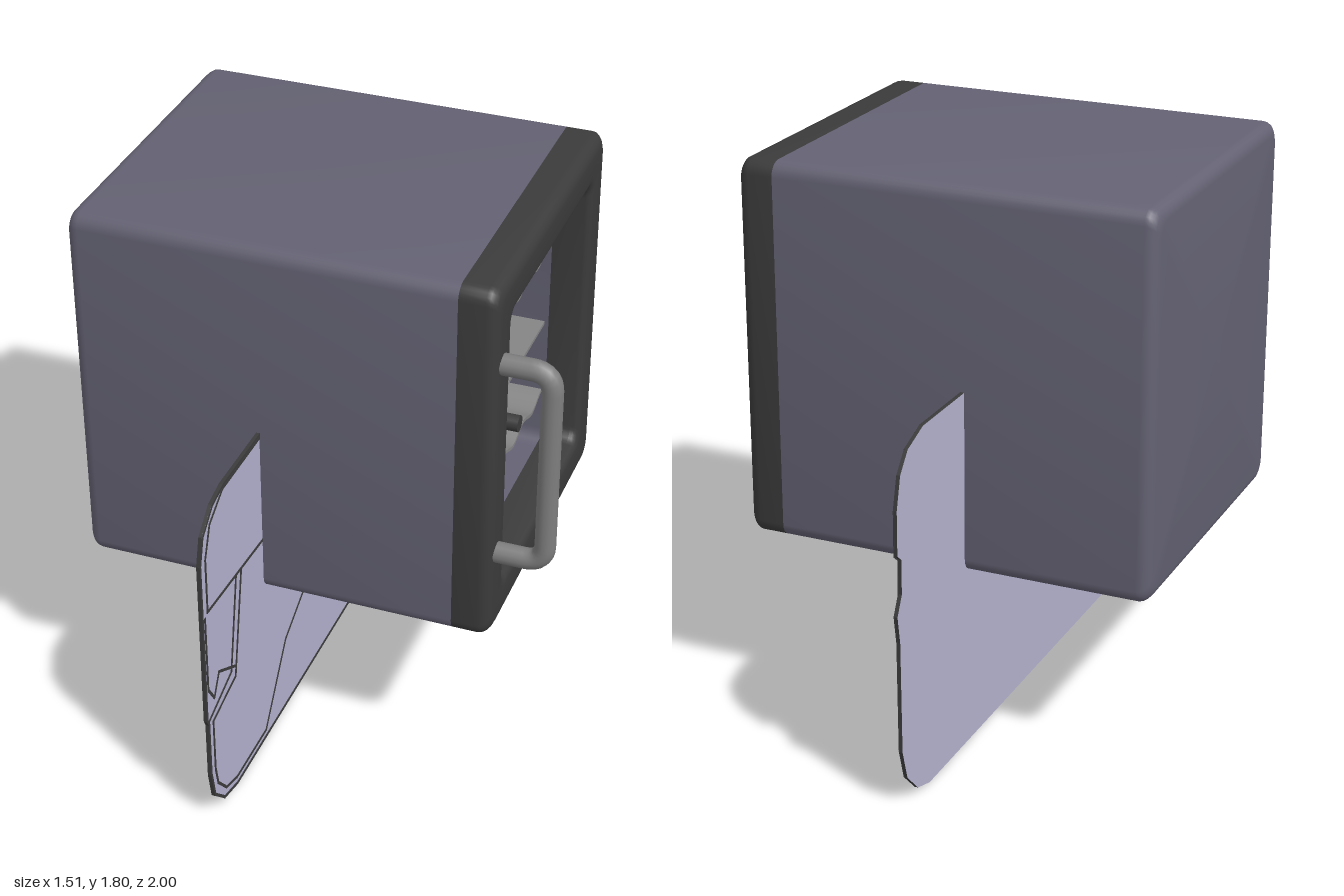
import * as THREE from 'three';
import { toCreasedNormals } from 'three/addons/utils/BufferGeometryUtils.js';

const mat = (name, color, side = THREE.FrontSide) => {
  const m = new THREE.MeshStandardMaterial({ color, side });
  m.name = name;
  return m;
};

// Rounded-rectangle loop in the y/z plane at a given x
function ring(x, halfY, halfZ, cy) {
  const pts = [], r = Math.min(0.045, halfY, halfZ), n = 5;
  for (let q = 0; q < 4; q++) {
    const sy = q === 0 || q === 3 ? 1 : -1, sz = q < 2 ? 1 : -1;
    for (let k = 0; k <= n; k++) {
      const a = (q + k / n) * Math.PI / 2;
      pts.push([x, cy + sy * (halfY - r) + r * Math.cos(a), sz * (halfZ - r) + r * Math.sin(a)]);
    }
  }
  return pts;
}

// Skin a list of [x, inset] steps with rounded-rectangle loops
function loft(steps, halfY, halfZ, cy) {
  const rings = steps.map(([x, i]) => ring(x, Math.max(halfY - i, 0), Math.max(halfZ - i, 0), cy));
  const pos = [];
  for (let i = 0; i < rings.length - 1; i++) {
    const A = rings[i], B = rings[i + 1], n = A.length;
    for (let j = 0; j < n; j++) {
      const k = (j + 1) % n;
      pos.push(...A[j], ...A[k], ...B[k], ...A[j], ...B[k], ...B[j]);
    }
  }
  const g = new THREE.BufferGeometry();
  g.setAttribute('position', new THREE.Float32BufferAttribute(pos, 3));
  g.computeVertexNormals();
  return toCreasedNormals(g, 0.6);
}

// Quarter-round steps for an edge, from angle a0 to a1
function arc(cx, ci, r, a0, a1, n = 5) {
  return Array.from({ length: n + 1 }, (_, k) => {
    const a = a0 + (a1 - a0) * k / n;
    return [cx + r * Math.cos(a), ci + r * Math.sin(a)];
  });
}

export function createModel() {
  const root = new THREE.Group();
  root.name = 'bottleCooler';
  const body = mat('slate casing', 0x646273);
  const dark = mat('charcoal', 0x3b3b3b);
  const grey = mat('handle grey', 0x7e7e7e);
  const rack = mat('shelf grey', 0x858585);
  const pane = mat('lavender panel', 0xb3b1cd);
  const green = mat('pale green', 0xb4bd80);
  const white = mat('off white', 0xdcdcd8);
  const add = (name, geo, m, parent = root) => {
    const mesh = new THREE.Mesh(geo, m);
    mesh.name = name;
    parent.add(mesh);
    return mesh;
  };
  const PI = Math.PI, cy = 1.195, hY = 0.605, hZ = 0.54;

  // Hollow casing, open towards the door
  add('casing', loft([
    [-0.76, 0.61], ...arc(-0.72, 0.04, 0.04, PI, PI * 1.5),
    [0.45, 0], [0.45, 0.04], [-0.72, 0.04], [-0.72, 0.61],
  ], hY, hZ, cy), body);

  // Door frame with rounded outer and inner rims
  add('doorFrame', loft([
    [0.45, 0.137], [0.45, 0], ...arc(0.53, 0.04, 0.04, -PI / 2, 0),
    ...arc(0.54, 0.107, 0.03, 0, PI / 2), [0.45, 0.137],
  ], hY, hZ, cy), dark);

  // Handle: one bent bar
  const V = (x, y) => new THREE.Vector3(x, y, 0.482);
  const path = new THREE.CurvePath();
  path.add(new THREE.LineCurve3(V(0.55, 1.545), V(0.655, 1.545)));
  path.add(new THREE.QuadraticBezierCurve3(V(0.655, 1.545), V(0.718, 1.545), V(0.718, 1.48)));
  path.add(new THREE.LineCurve3(V(0.718, 1.48), V(0.718, 0.95)));
  path.add(new THREE.QuadraticBezierCurve3(V(0.718, 0.95), V(0.718, 0.885), V(0.655, 0.885)));
  path.add(new THREE.LineCurve3(V(0.655, 0.885), V(0.55, 0.885)));
  add('handle', new THREE.TubeGeometry(path, 64, 0.033, 12), grey);

  // Shelves: two wavy racks and one flat board
  const shelf = (name, y, wave) => {
    const g = new THREE.BoxGeometry(1.13, 0.012, 1, 1, 1, wave ? 60 : 1);
    const p = g.attributes.position;
    for (let i = 0; i < p.count; i++) {
      p.setY(i, p.getY(i) - wave * Math.cos(p.getZ(i) * PI * 10));
    }
    g.computeVertexNormals();
    add(name, g, rack).position.set(-0.155, y, 0);
  };
  shelf('upperRack', 1.36, 0.014);
  shelf('middleShelf', 1.085, 0);
  shelf('lowerRack', 0.808, 0.014);

  // Bottles lying with the neck towards the door
  const bottle = (y, z, r, glass, capMat) => {
    const g = new THREE.Group();
    g.name = 'bottle';
    const L = r * 8, neck = r * 0.32;
    const profile = [[0, 0], [r * 0.9, 0], [r, r * 0.12], [r, L * 0.55], [r * 0.92, L * 0.61],
      [r * 0.65, L * 0.68], [neck * 1.1, L * 0.77], [neck, L * 0.92], [0, L * 0.92]];
    add('bottleGlass', toCreasedNormals(new THREE.LatheGeometry(
      profile.map(([a, b]) => new THREE.Vector2(a, b)), 24), 0.7), glass, g);
    add('bottleCap', new THREE.CylinderGeometry(neck * 1.1, neck * 1.1, L * 0.1, 16), capMat, g)
      .position.y = L * 0.95;
    g.rotation.z = -PI / 2;
    g.position.set(0.43 - L, y, z);
    root.add(g);
  };
  [0.4, 0.01, -0.39].forEach((z) => bottle(1.452, z, 0.095, white, green));
  [0.4, 0.02, -0.19].forEach((z) => bottle(0.888, z, 0.08, green, dark));
  bottle(1.205, 0.37, 0.108, green, dark);

  // Thin upright panel, outlined in [z, y]
  const outline = [[0.8, 0.005], [0.9, 0.03], [0.97, 0.1], [0.99, 0.2], [0.99, 0.4], [1, 0.42],
    [1, 1], [0.975, 1.09], [0.9, 1.155], [0.82, 1.175], [-0.82, 1.175], [-0.92, 1.14],
    [-0.97, 1.08], [-0.995, 0.98], [-0.995, 0.84], [-0.97, 0.82], [-0.97, 0.71], [-1, 0.65],
    [-0.985, 0.56], [-0.98, 0.2], [-0.95, 0.1], [-0.88, 0.03], [-0.8, 0.005]];
  const shape = new THREE.Shape(outline.map(([z, y]) => new THREE.Vector2(-z, y)));
  const plate = new THREE.ExtrudeGeometry(shape, { depth: 0.01, bevelEnabled: false });
  plate.rotateY(PI / 2).translate(-0.171, 0, 0);
  add('panel', plate, [pane, dark]);

  // Dark seams laid on the panel face
  const seams = new THREE.Group();
  seams.name = 'panelSeams';
  root.add(seams);
  const seam = (pts, w = 0.009) => {
    for (let i = 0; i < pts.length - 1; i++) {
      const [z0, y0] = pts[i], [z1, y1] = pts[i + 1];
      const len = Math.hypot(z1 - z0, y1 - y0);
      const s = add('seam', new THREE.BoxGeometry(0.003, w, len + w * 0.6), dark, seams);
      s.position.set(-0.1605, (y0 + y1) / 2, (z0 + z1) / 2);
      s.rotation.x = -Math.atan2(y1 - y0, z1 - z0);
    }
  };
  seam([...outline.map(([z, y]) => [z * 0.996, 0.59 + (y - 0.59) * 0.993]), [0.797, 0.009]], 0.01);
  // Inner border and folds
  seam([[0.36, 0.74], [0.5, 0.78], [0.96, 0.81], [0.96, 1], [0.92, 1.1], [0.82, 1.16], [-0.85, 1.16],
    [-0.93, 1.09], [-0.96, 1], [-0.97, 0.68], [-0.91, 0.605], [-0.75, 0.63], [-0.7, 0.565],
    [-0.97, 0.5], [-0.96, 0.2], [-0.88, 0.08], [-0.78, 0.05], [-0.65, 0.05], [-0.63, 0.365],
    [-0.45, 0.405], [-0.42, 0.37], [-0.03, 0.485], [0.38, 0.275], [0.56, 0.035], [0.8, 0.035],
    [0.88, 0.06], [0.94, 0.13], [0.955, 0.2], [0.955, 0.39], [0.78, 0.43], [0.71, 0.79]]);
  seam([[-0.45, 0.405], [-0.2, 0.48], [-0.13, 0.6], [-0.1, 0.7]]);
  seam([[0.99, 0.41], [0.81, 0.47], [0.75, 0.79]]);
  seam([[0.98, 0.8], [0.98, 0.53], [0.94, 0.47], [0.9, 0.54], [0.78, 0.47]]);
  return root;
}
